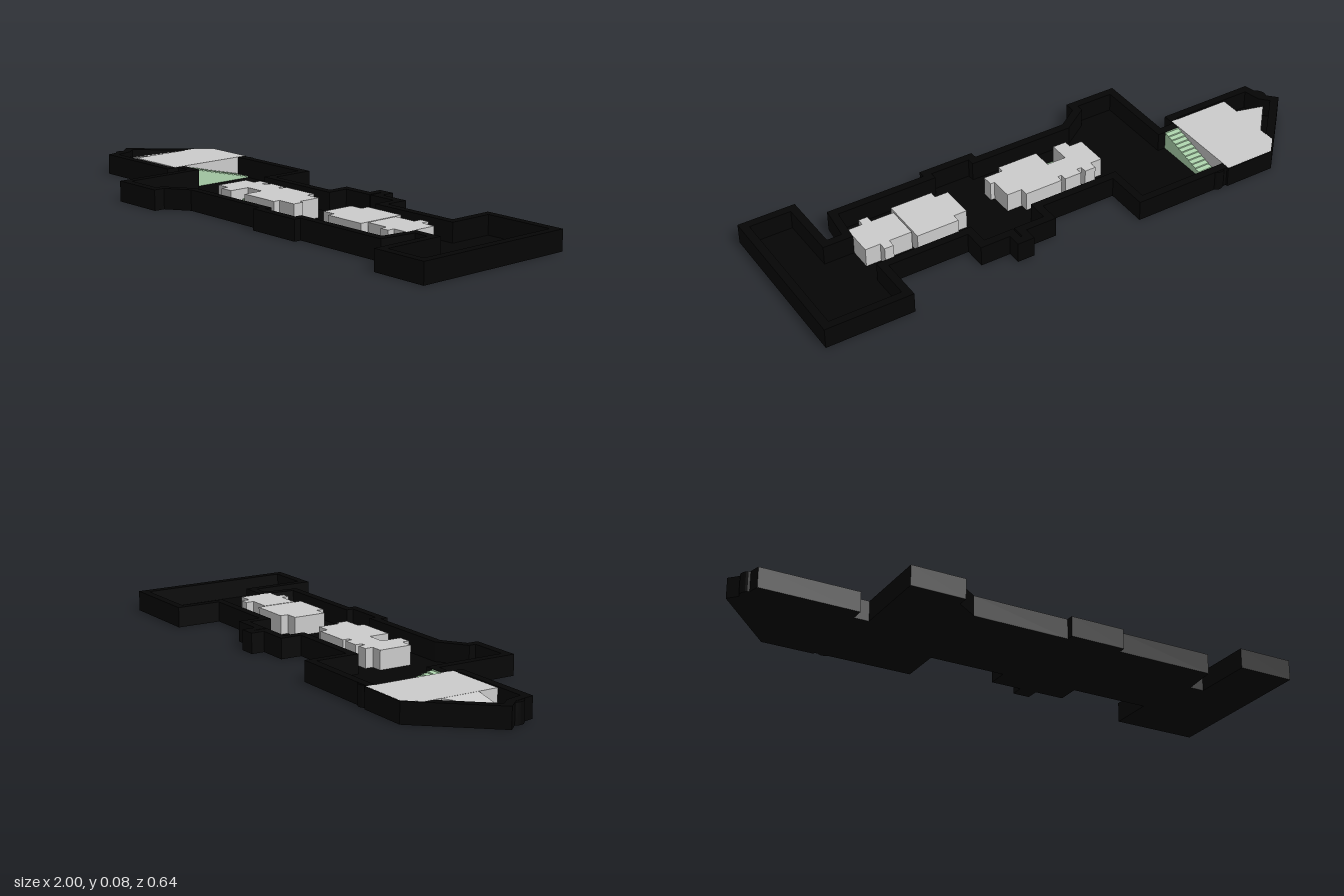
import * as THREE from 'three';

const material = (color) => new THREE.MeshStandardMaterial({ color, flatShading: true });
const black = material(0x050505);
const grey = material(0xcccccc);
const green = material(0xb0d8b0);
const H = 0.075, FLOOR = 0.005, WALL = 0.03;

// Plan points are [x, z]
const toPoints = (pts) => pts.map(([x, z]) => new THREE.Vector2(x, -z));
const planShape = (pts) => new THREE.Shape(toPoints(pts));

function slab(shape, y0, y1) {
  const g = new THREE.ExtrudeGeometry(shape, { depth: y1 - y0, bevelEnabled: false });
  g.rotateX(-Math.PI / 2);
  return g.translate(0, y0, 0);
}

// Moves every edge of a clockwise plan inwards by d and joins the edges again
function inset(pts, d) {
  const n = pts.length;
  const normal = (a, b) => {
    const dx = b[0] - a[0], dz = b[1] - a[1], l = Math.hypot(dx, dz);
    return [-dz / l, dx / l];
  };
  return pts.map((p, i) => {
    const a = normal(pts[(i + n - 1) % n], p), b = normal(p, pts[(i + 1) % n]);
    const k = d / (1 + a[0] * b[0] + a[1] * b[1]);
    return [p[0] + (a[0] + b[0]) * k, p[1] + (a[1] + b[1]) * k];
  });
}

export function createModel() {
  const model = new THREE.Group();
  const add = (name, geometry, mat) => {
    const mesh = new THREE.Mesh(geometry, mat);
    mesh.name = name;
    model.add(mesh);
    return mesh;
  };

  // Outline of the whole level
  const outline = [
    [-0.52, -0.31], [-0.205, -0.31], [-0.205, -0.147], [0.083, -0.147], [0.083, -0.227],
    [0.2, -0.227], [0.2, -0.277], [0.265, -0.277], [0.265, -0.227], [0.377, -0.227],
    [0.377, -0.142], [0.677, -0.142], [0.677, -0.311], [1, -0.311], [1, 0.318],
    [0.787, 0.318], [0.785, 0.085], [0.73, 0.085], [0.715, 0.219], [0.34, 0.219],
    [0.34, 0.246], [0.13, 0.246], [0.13, 0.219], [-0.235, 0.219], [-0.317, 0.275],
    [-0.317, 0.316], [-0.52, 0.316], [-0.52, 0.01], [-0.575, 0.01], [-0.575, 0.06],
    [-0.942, 0.06], [-0.96, -0.02], [-1, -0.065], [-0.77, -0.318], [-0.575, -0.318], [-0.575, -0.31],
  ];
  add('floor', slab(planShape(outline), 0, FLOOR), black);

  // The hole runs the other way round, so that the inner wall faces look inwards
  const rim = planShape(outline);
  rim.holes.push(new THREE.Path(toPoints(inset(outline, WALL)).reverse()));
  add('outerWall', slab(rim, 0, H), black);

  // Half round posts on the wing's outer wall: x, z, radius, start angle
  for (const [x, z, r, start] of [[-0.543, -0.29, 0.028, Math.PI / 2], [-0.942, -0.012, 0.032, Math.PI]]) {
    const post = add('cornerPost', new THREE.CylinderGeometry(r, r, H - 0.001, 12, 1, false, start, Math.PI), black);
    post.position.set(x, (H - 0.001) / 2, z);
  }

  // Raised platform of the wing
  add('wingPlatform', slab(planShape([
    [-0.815, -0.26], [-0.765, -0.315], [-0.578, -0.315], [-0.578, 0.022], [-0.815, 0.022],
  ]), FLOOR, H + 0.0005), grey);

  // Ramp falling away towards the tip
  const ramp = slab(planShape([[-0.94, -0.052], [-0.815, -0.195], [-0.815, -0.052]]), FLOOR, H);
  const pos = ramp.attributes.position;
  for (let i = 0; i < pos.count; i++) {
    if (pos.getY(i) > 0.04) pos.setY(i, H - 0.025 * (-0.815 - pos.getX(i)) / 0.125);
  }
  ramp.computeVertexNormals();
  add('wingRamp', ramp, grey);

  // Solid flights of steps, rising from z0 to z1
  function stairs(name, x0, x1, z0, z1, height, count) {
    const group = new THREE.Group();
    group.name = name;
    const run = (z1 - z0) / count;
    for (let i = 0; i < count; i++) {
      const h = height * (i + 1) / count;
      const step = new THREE.Mesh(new THREE.BoxGeometry(x1 - x0, h, Math.abs(run)), green);
      step.name = 'step';
      step.position.set((x0 + x1) / 2, FLOOR + h / 2, z0 + run * (i + 0.5));
      group.add(step);
    }
    model.add(group);
  }
  stairs('wingStairs', -0.577, -0.52, -0.285, 0, H - FLOOR - 0.001, 14);
  stairs('blockStairs', -0.133, -0.06, 0.122, 0.045, 0.04, 6);

  // Free standing blocks inside the hall
  const blocks = {
    westBlock: [
      [-0.235, -0.03], [-0.19, -0.03], [-0.19, -0.06], [-0.148, -0.06], [-0.148, -0.035],
      [-0.13, -0.035], [-0.13, -0.06], [-0.065, -0.06], [-0.065, -0.035], [-0.05, -0.035],
      [-0.05, -0.06], [0.095, -0.06], [0.095, -0.03], [0.152, -0.03], [0.152, 0.055],
      [0.168, 0.055], [0.168, 0.097], [0.095, 0.097], [0.095, 0.122], [-0.06, 0.122],
      [-0.06, 0.045], [-0.133, 0.045], [-0.133, 0.122], [-0.185, 0.122], [-0.185, 0.095],
      [-0.235, 0.095],
    ],
    middleBlock: [
      [0.315, -0.03], [0.365, -0.03], [0.365, -0.06], [0.523, -0.06], [0.523, 0.122],
      [0.365, 0.122], [0.365, 0.095], [0.315, 0.095],
    ],
    eastBlock: [
      [0.528, -0.03], [0.613, -0.03], [0.613, -0.06], [0.647, -0.06], [0.647, -0.03],
      [0.703, -0.03], [0.703, 0.095], [0.647, 0.095], [0.647, 0.122], [0.613, 0.122],
      [0.613, 0.095], [0.528, 0.095],
    ],
  };
  for (const [name, pts] of Object.entries(blocks)) add(name, slab(planShape(pts), FLOOR, H), grey);

  return model;
}
